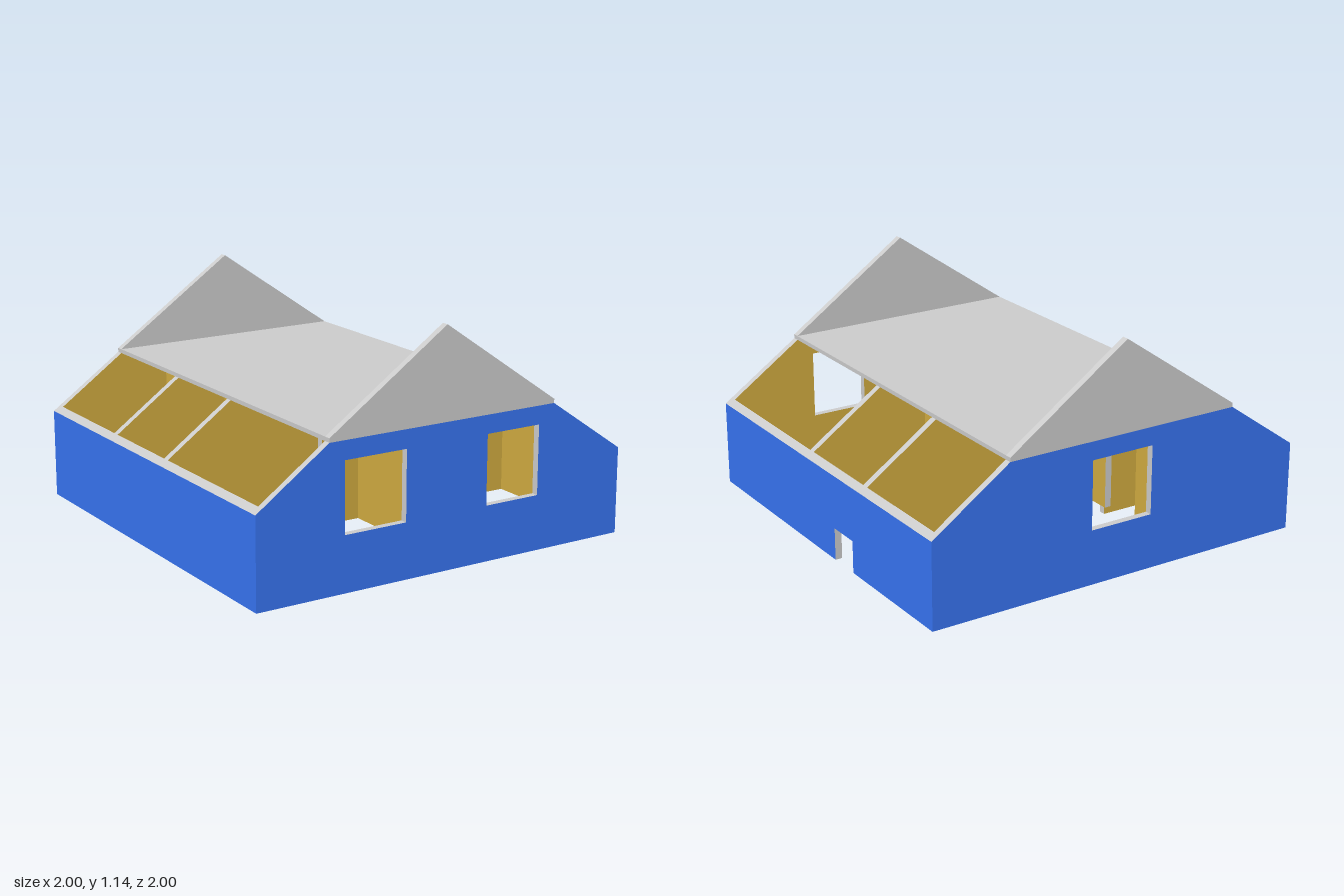
import * as THREE from 'three';

const T = 0.035;                 // wall thickness
const HEAD = 0.61, CEIL = 0.70;  // door/window head, ceiling underside
const RISE = 0.024;              // roof rise across one wall thickness

const mat = (color) => new THREE.MeshStandardMaterial({ color });
const grey = mat(0xcccccc), blue = mat(0x3773f0), brown = mat(0xd0ab40);

// Panel in the (u, y) plane: outline runs from u0 to u1 along the base, with
// door notches cut from below, then back over the given top points.
function panel(u0, u1, base, top, doors = [], windows = []) {
  const pts = [[u0, base]];
  for (const [a, b, h] of doors) pts.push([a, base], [a, h], [b, h], [b, base]);
  pts.push([u1, base], ...top);
  const shape = new THREE.Shape(pts.map((p) => new THREE.Vector2(...p)));
  for (const [a, b, lo, hi] of windows) {
    shape.holes.push(new THREE.Path([[a, lo], [a, hi], [b, hi], [b, lo]]
      .map((p) => new THREE.Vector2(...p))));
  }
  const geo = new THREE.ExtrudeGeometry(shape, { depth: T, bevelEnabled: false });
  // separate groups: near face, far face, cut edges
  const caps = geo.groups[0].count, total = geo.attributes.position.count;
  geo.clearGroups();
  geo.addGroup(0, caps / 2, 0);
  geo.addGroup(caps / 2, caps / 2, 1);
  geo.addGroup(caps, total - caps, 2);
  return geo;
}

// Mitre the corners of an outer wall; slopeAll lifts the whole inner top edge.
function mitre(geo, innerDepth, slopeAll, eaves) {
  const p = geo.attributes.position;
  for (let i = 0; i < p.count; i++) {
    if (Math.abs(p.getZ(i) - innerDepth) > 1e-4) continue;
    const corner = Math.abs(p.getX(i)) > 0.999;
    if (p.getY(i) > 0.4 && (corner || (slopeAll && p.getY(i) > eaves - 0.001))) p.setY(i, p.getY(i) + RISE);
    if (corner) p.setX(i, Math.sign(p.getX(i)) * (1 - T));
  }
  geo.computeVertexNormals();
  return geo;
}

export function createModel() {
  const house = new THREE.Group();
  house.name = 'house';

  const add = (name, geo, materials, x, z) => {
    const mesh = new THREE.Mesh(geo, materials);
    mesh.name = name;
    mesh.position.set(x, 0, z);
    house.add(mesh);
    return mesh;
  };
  // wall running along z; its near face ends up facing +x
  const addAlongZ = (name, geo, materials, xMax) => add(name, geo.rotateY(-Math.PI / 2), materials, xMax, 0);

  // End walls with windows
  const endTop = [[1, 0.425], [0.6, CEIL], [-0.63, CEIL], [-1, 0.44]];
  add('frontWall', mitre(panel(-1, 1, 0, endTop, [],
    [[-0.55, -0.225, 0.27, HEAD], [0.22, 0.515, 0.27, HEAD]]), 0, false),
  [brown, blue, grey], 0, 1 - T);
  add('backWall', mitre(panel(-1, 1, 0, endTop, [], [[-0.17, 0.16, 0.27, HEAD]]), T, false),
    [blue, brown, grey], 0, -1);

  // Side walls with tops sloped to the roof pitch
  addAlongZ('leftWall', mitre(panel(-1, 1, 0, [[1, 0.425], [-1, 0.425]], [[-0.30, -0.13, 0.16]]), T, true, 0.425),
    [blue, brown, grey], 1);
  addAlongZ('rightWall', mitre(panel(-1, 1, 0, [[1, 0.44], [-1, 0.44]]), 0, true, 0.44),
    [brown, blue, grey], -1 + T);

  // Cross partitions with doorways
  const e = 1 - T;
  const crossTop = [[e, 0.425 + RISE], [0.6, CEIL], [-0.63, CEIL], [-e, 0.44 + RISE]];
  const inner = [brown, brown, grey];
  add('frontPartition', panel(-e, e, 0, crossTop, [[-0.33, -0.13, HEAD], [0.15, 0.355, HEAD]]), inner, 0, 0.12);
  add('backPartition', panel(-e, e, 0, crossTop, [[-0.36, -0.14, HEAD]]), inner, 0, -0.388);

  // Lengthwise partitions: one between the front rooms, one beside the hall
  addAlongZ('frontRoomDivider', panel(0.155, e, 0, [[e, CEIL], [0.155, CEIL]]), inner, 0.115);
  addAlongZ('hallPartition', panel(-0.388, 0.12, 0.05, [[0.12, CEIL], [-0.388, CEIL]],
    [[-0.11, 0.11, HEAD]]), inner, -0.34);
  addAlongZ('backRoomDivider', panel(-e, -0.388, 0.05, [[-0.388, CEIL], [-e, CEIL]],
    [[-0.66, -0.42, HEAD]]), inner, -0.34);

  // Ceiling slab and the two gables standing on it
  const slab = add('ceiling', new THREE.BoxGeometry(1.23, 0.02, 2), grey, -0.015, 0);
  slab.position.y = CEIL + 0.01;
  for (const [name, z] of [['frontGable', 1 - T], ['backGable', -1]]) {
    add(name, panel(-0.63, 0.6, 0.72, [[-0.015, 1.145]]), [grey, grey, grey], 0, z);
  }
  return house;
}
